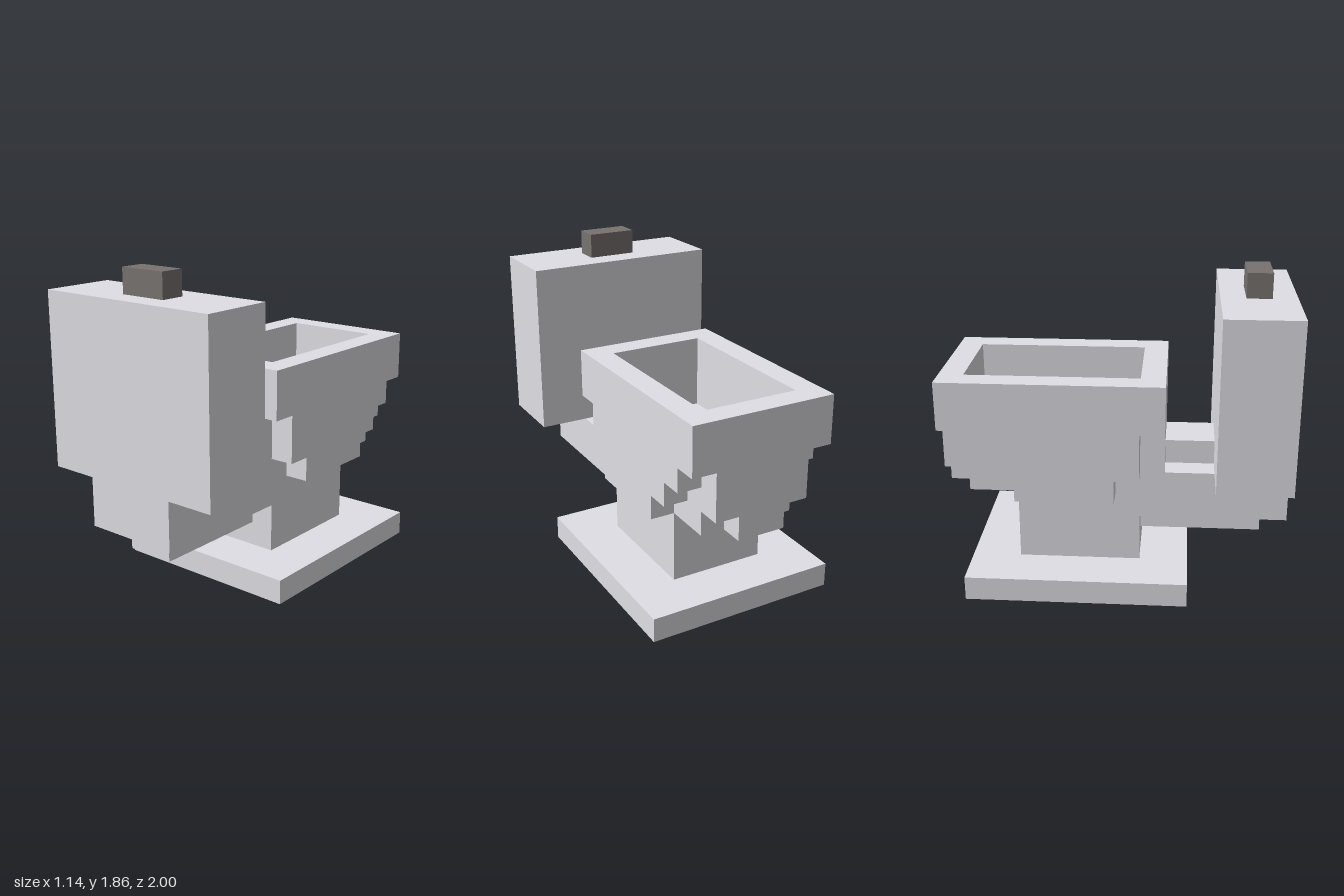
import * as THREE from 'three';

const U = 1 / 7; // one block

export function createModel() {
  const group = new THREE.Group();
  const porcelain = new THREE.MeshStandardMaterial({ color: 0xe0dfe5 });
  porcelain.name = 'porcelain';
  const darkMetal = new THREE.MeshStandardMaterial({ color: 0x787371 });
  darkMetal.name = 'darkMetal';

  function add(name, geometry, material) {
    const mesh = new THREE.Mesh(geometry.scale(U, U, U), material);
    mesh.name = name;
    group.add(mesh);
  }

  // Block centred on x, given in whole units
  function block(name, halfX, y0, y1, z0, z1, material = porcelain) {
    const g = new THREE.BoxGeometry(halfX * 2, y1 - y0, z1 - z0);
    add(name, g.translate(0, (y0 + y1) / 2, (z0 + z1) / 2), material);
  }

  // Horizontal slab from a mirrored [x, z] half outline and half hole;
  // the outline runs counterclockwise and the hole clockwise
  const mirror = (half) => [
    ...half.map(([x, z]) => new THREE.Vector2(-x, -z)),
    ...half.slice().reverse().map(([x, z]) => new THREE.Vector2(x, -z)),
  ];
  function slab(name, y0, y1, outline, hole) {
    const shape = new THREE.Shape(mirror(outline));
    shape.holes.push(new THREE.Path(mirror(hole).reverse()));
    const g = new THREE.ExtrudeGeometry(shape, { depth: y1 - y0, bevelEnabled: false });
    add(name, g.rotateX(-Math.PI / 2).translate(0, y0, 0), porcelain);
  }

  // Foot and pedestal
  block('base', 4, 0, 1, -6, 3);
  block('pedestal', 2, 1, 3, -4, 1);

  // Drain level with the arm reaching under the tank
  slab('drainAndArm', 3, 4, [[2, -4], [2, 7]], [[1, -1], [1, 1]]);

  // Stepped bowl, widening upwards
  slab('bowlBottomAndArm', 4, 5,
    [[1, -7], [1, -6], [2, -6], [2, -4], [3, -4], [3, 0], [2, 0], [2, 7]],
    [[1, -3], [1, 1]]);
  slab('bowlLower', 5, 6,
    [[2, -7], [2, -5], [3, -5], [3, 1], [2, 1], [2, 2]],
    [[1, -4], [1, 1]]);
  slab('bowlMiddle', 6, 7,
    [[2, -7], [2, -6], [3, -6], [3, 1], [2, 1], [2, 2]],
    [[1, -5], [1, -4], [2, -4], [2, 1]]);
  slab('bowlRim', 7, 9, [[3, -7], [3, 2]], [[2, -6], [2, 1]]);

  // Pipes above and below the arm
  block('upperPipe', 1, 5, 6, 2, 4);
  block('lowerPipe', 1, 2, 3, 1, 6);

  // Tank and push button
  block('tank', 4, 5, 12, 4, 7);
  block('flushButton', 1, 12, 13, 5, 6, darkMetal);

  return group;
}
